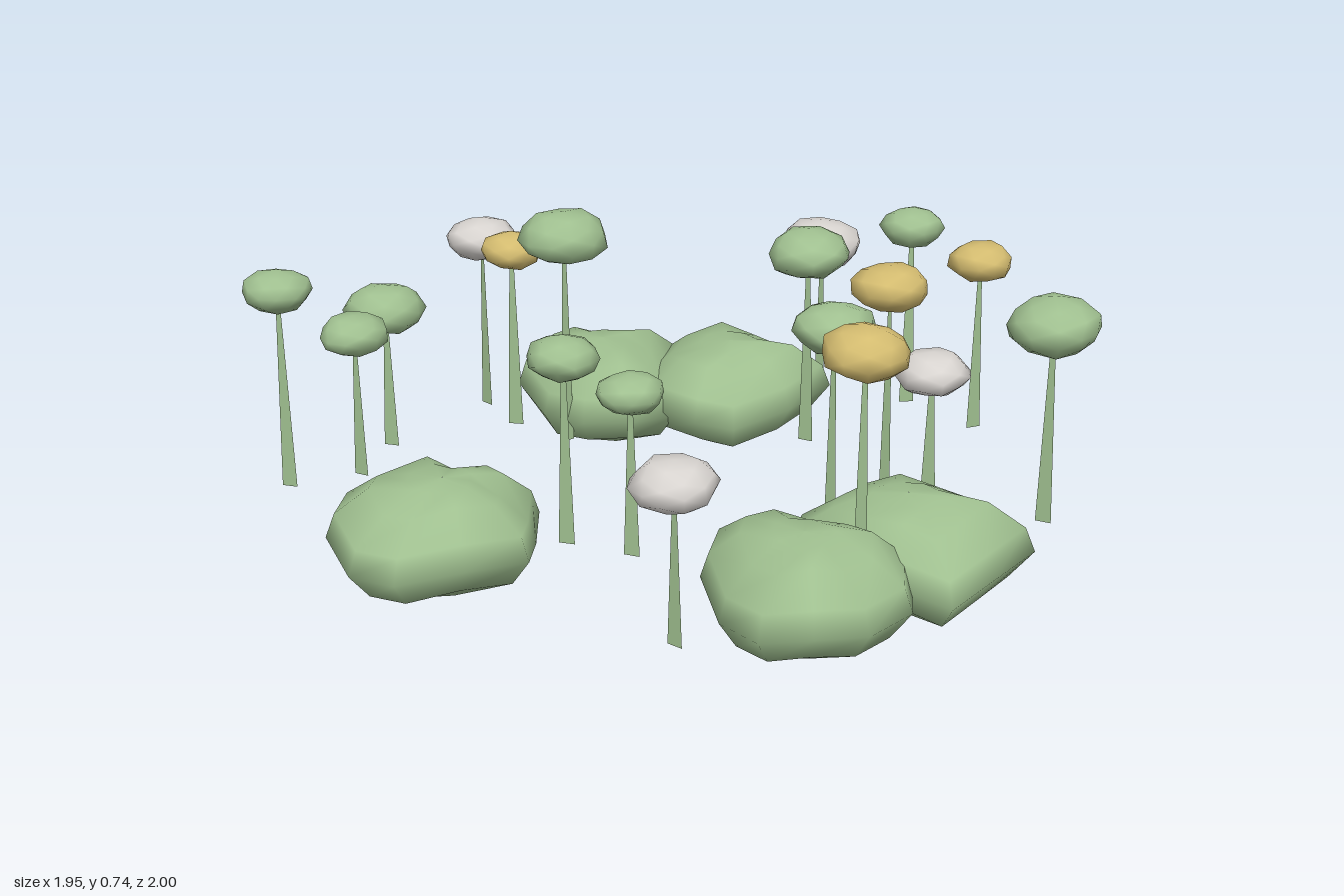
import * as THREE from 'three';
import { mergeVertices } from 'three/addons/utils/BufferGeometryUtils.js';

const green = new THREE.MeshStandardMaterial({ name: 'leaf green', color: 0xa0c090 });
const yellow = new THREE.MeshStandardMaterial({ name: 'petal yellow', color: 0xd4bc70 });
const white = new THREE.MeshStandardMaterial({ name: 'petal white', color: 0xd8d4d0 });
const bladeGreen = new THREE.MeshStandardMaterial({ name: 'stem green', color: 0xa0c090, side: THREE.DoubleSide });

// Bush outlines seen from above: [x, z] going round clockwise
const bushes = [
  [[-.63, -.50], [-.59, -.69], [-.43, -.76], [-.23, -.73], [-.14, -.69], [-.12, -.50], [-.15, -.31], [-.21, -.22], [-.39, -.22], [-.55, -.31]],
  [[-.87, -.31], [-.81, -.43], [-.71, -.51], [-.58, -.52], [-.44, -.39], [-.33, -.26], [-.32, -.10], [-.44, -.02], [-.60, -.02], [-.79, -.09], [-.87, -.18]],
  [[.43, .08], [.47, -.05], [.53, -.18], [.65, -.27], [.81, -.25], [.95, -.20], [.95, -.05], [.97, .13], [.85, .18], [.67, .21], [.48, .16]],
  [[.39, .32], [.42, .20], [.53, .10], [.68, .08], [.83, .11], [.92, .21], [.93, .37], [.89, .51], [.79, .58], [.64, .55], [.48, .45]],
  [[-.43, .55], [-.27, .51], [-.18, .45], [-.06, .47], [.03, .56], [.12, .66], [.09, .83], [-.01, .96], [-.13, 1], [-.30, .94], [-.42, .81]],
];
// Bush profile: [height, share of the outline]
const profile = [[.015, .001], [.015, .4], [.06, .8], [.13, 1], [.19, .92], [.25, .62], [.275, .3], [.28, .001]];

// Squat bush: the outline scaled along the profile
function makeBush(outline, seed) {
  const n = outline.length, pos = [], index = [];
  const cx = outline.reduce((s, p) => s + p[0], 0) / n;
  const cz = outline.reduce((s, p) => s + p[1], 0) / n;
  profile.forEach(([y, k], r) => {
    outline.forEach(([x, z], i) => {
      const inner = r > 1 && r < 6;
      const lift = inner ? Math.sin(i * 1.9 + seed * 2.3) * 0.018 : 0;
      pos.push(cx + (x - cx) * k, y + lift, cz + (z - cz) * k);
      if (r < profile.length - 1) {
        const a = r * n + i, b = r * n + (i + 1) % n;
        index.push(a, a + n, b, b, a + n, b + n);
      }
    });
  });
  const g = new THREE.BufferGeometry();
  g.setAttribute('position', new THREE.Float32BufferAttribute(pos, 3));
  g.setIndex(index);
  g.computeVertexNormals();
  return g;
}

// Flower head: a flattened, slightly uneven ball
function makeHead(r, seed) {
  let g = new THREE.IcosahedronGeometry(1, 1);
  g.deleteAttribute('normal');
  g.deleteAttribute('uv');
  g = mergeVertices(g, 1e-3);
  const p = g.attributes.position, v = new THREE.Vector3();
  for (let i = 0; i < p.count; i++) {
    v.fromBufferAttribute(p, i).multiplyScalar(1 + 0.06 * Math.sin(i * 5.3 + seed * 1.7));
    p.setXYZ(i, v.x, v.y, v.z);
  }
  g.rotateY(seed * 0.8);
  g.scale(r, r * 0.6, r);
  g.computeVertexNormals();
  return g;
}

// Stem: a flat blade tapering upward from its foot
function makeStem(top) {
  const s = new THREE.Shape();
  s.moveTo(-.021, .065);
  s.lineTo(.021, .065);
  s.lineTo(.005, top);
  s.lineTo(-.005, top);
  return new THREE.ShapeGeometry(s);
}

// Flowers: x, z, head height, head radius, colour, turn of the stem
const flowers = [
  [-.88, -.045, .56, .1, white, 0],
  [-.70, 0, .575, .085, yellow, .6],
  [-.505, -.02, .65, .12, green, 1.45],
  [-.27, -.79, .52, .115, white, 1.55],
  [-.04, -.91, .59, .09, green, .9],
  [-.045, -.485, .605, .11, green, .3],
  [.22, -.89, .55, .09, yellow, 1.2],
  [.165, .37, .49, .085, green, .4],
  [0, .435, .555, .09, green, .5],
  [-.82, .345, .46, .11, green, .5],
  [-.71, .53, .46, .09, green, .3],
  [-.78, .71, .605, .09, green, .5],
  [.75, -.505, .59, .12, green, .3],
  [.48, -.375, .43, .095, white, .4],
  [.41, -.285, .66, .1, yellow, 1.5],
  [.40, -.09, .60, .105, green, 1.5],
  [.72, .165, .685, .105, yellow, 1.2],
  [.58, .63, .46, .1, white, .1],
];

export function createModel() {
  const model = new THREE.Group();
  model.name = 'flowerPatch';
  bushes.forEach((outline, i) => {
    const bush = new THREE.Mesh(makeBush(outline, i), green);
    bush.name = 'bush';
    model.add(bush);
  });
  flowers.forEach(([x, z, y, r, colour, turn], i) => {
    const flower = new THREE.Group();
    flower.name = 'flower';
    flower.position.set(x, 0, z);
    const head = new THREE.Mesh(makeHead(r, i), colour);
    head.name = 'flowerHead';
    head.position.y = y;
    const stem = new THREE.Mesh(makeStem(y), bladeGreen);
    stem.name = 'stem';
    stem.rotation.y = turn;
    flower.add(head, stem);
    model.add(flower);
  });
  return model;
}
